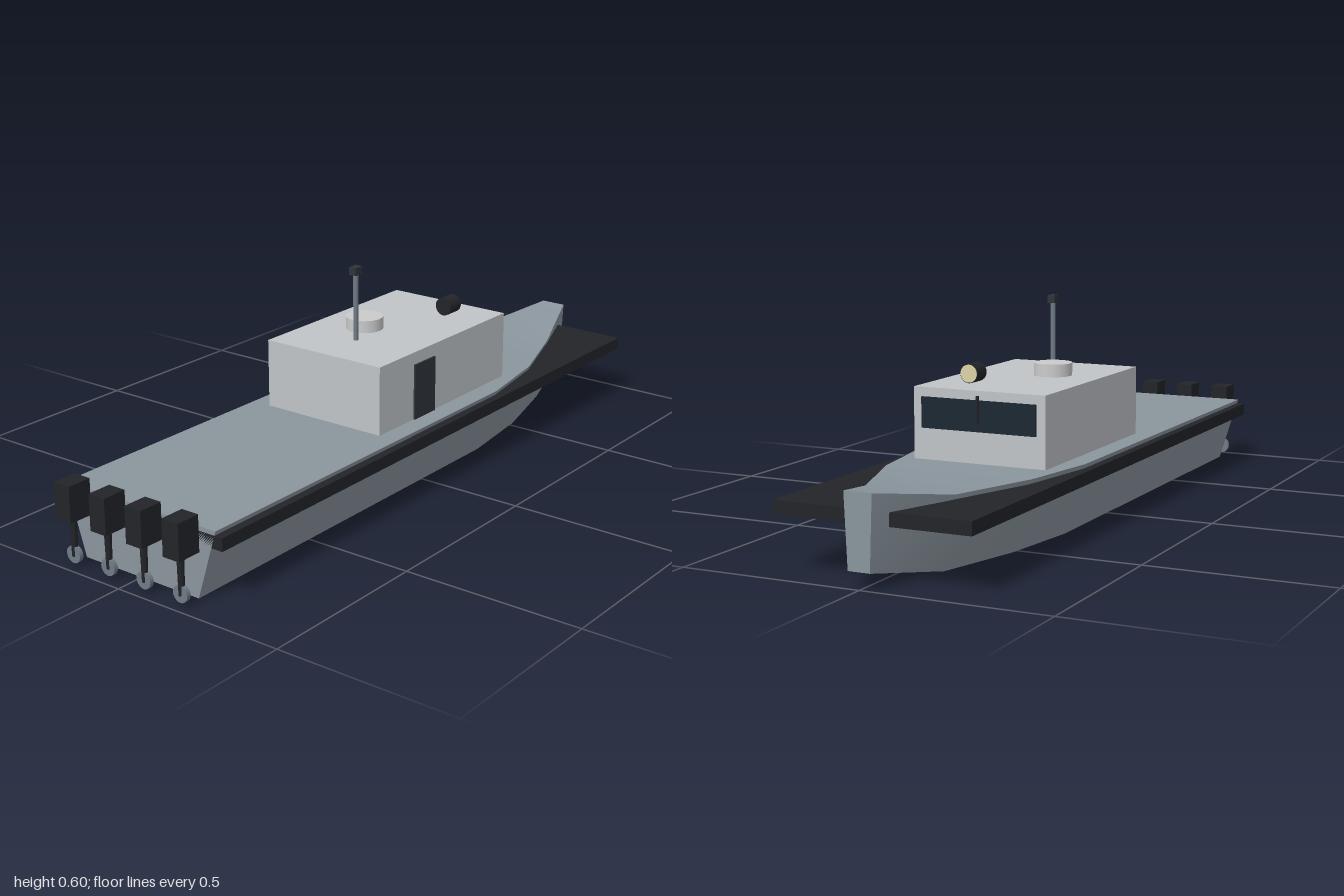
import * as THREE from 'three';
import { toCreasedNormals } from 'three/addons/utils/BufferGeometryUtils.js';

const material = (color) => new THREE.MeshStandardMaterial({ color });
const hullGrey = material(0x8a959d);
const cabinGrey = material(0xc0c4c8);
const black = material(0x222428);
const glass = material(0x1c2833);
const doorGrey = material(0x2e353b);
const mastGrey = material(0x707b86);
const domeGrey = material(0xcccccc);
const cream = material(0xddd3a8);

function add(parent, name, geometry, mat, x, y, z) {
  const mesh = new THREE.Mesh(geometry, mat);
  mesh.name = name;
  mesh.position.set(x, y, z);
  parent.add(mesh);
  return mesh;
}

// Box given by its minimum and maximum on each axis
function addBox(parent, name, mat, [x0, x1], [y0, y1], [z0, z1]) {
  return add(parent, name, new THREE.BoxGeometry(x1 - x0, y1 - y0, z1 - z0), mat,
    (x0 + x1) / 2, (y0 + y1) / 2, (z0 + z1) / 2);
}

// Cylinder lying along x
function axialCylinder(radius, length, sides = 24) {
  return new THREE.CylinderGeometry(radius, radius, length, sides).rotateZ(-Math.PI / 2);
}

// Hull lofted through trapezoid sections, stern to bow
function hullGeometry() {
  // x, bottom y, deck y, bottom half width, deck half width
  const stations = [
    [-0.92, 0, 0.192, 0.19, 0.25],
    [0.28, 0, 0.192, 0.19, 0.25],
    [0.52, 0, 0.192, 0.158, 0.21],
    [0.76, 0, 0.192, 0.093, 0.125],
    [1.0, 0.043, 0.233, 0.03, 0.038],
  ];
  const rings = stations.map(([x, y0, y1, b, t]) =>
    [[x, y0, -b], [x, y0, b], [x, y1, t], [x, y1, -t]]);
  const positions = [];
  const quad = (a, b, c, d) => positions.push(...a, ...b, ...c, ...a, ...c, ...d);
  for (let i = 0; i < rings.length - 1; i++) {
    for (let k = 0; k < 4; k++) {
      const n = (k + 1) % 4;
      quad(rings[i][k], rings[i + 1][k], rings[i + 1][n], rings[i][n]);
    }
  }
  quad(...rings[0]);
  quad(...rings[rings.length - 1].slice().reverse());
  const geometry = new THREE.BufferGeometry();
  geometry.setAttribute('position', new THREE.Float32BufferAttribute(positions, 3));
  return toCreasedNormals(geometry, 0.3);
}

// Outboard motor with leg and propeller
function outboardMotor(z) {
  const motor = new THREE.Group();
  motor.name = 'outboardMotor';
  motor.position.z = z;
  addBox(motor, 'motorCowl', black, [-1, -0.93], [0.13, 0.228], [-0.026, 0.026]);
  add(motor, 'motorLeg', new THREE.CylinderGeometry(0.01, 0.008, 0.11, 12), black, -0.968, 0.08, 0);
  add(motor, 'propeller', axialCylinder(0.023, 0.012, 20), mastGrey, -0.968, 0.03, 0);
  return motor;
}

export function createModel() {
  const boat = new THREE.Group();
  boat.name = 'patrolBoat';

  // Hull and full-width rubbing fender
  add(boat, 'hull', hullGeometry(), hullGrey, 0, 0, 0);
  addBox(boat, 'fender', black, [-0.92, 0.95], [0.145, 0.18], [-0.27, 0.27]);

  // Cabin with windscreen, divider and side door
  const cabin = new THREE.Group();
  cabin.name = 'cabin';
  boat.add(cabin);
  addBox(cabin, 'cabinWalls', cabinGrey, [-0.2, 0.4], [0.19, 0.385], [-0.192, 0.192]);
  addBox(cabin, 'windscreen', glass, [0.395, 0.406], [0.277, 0.36], [-0.167, 0.167]);
  addBox(cabin, 'windscreenWiper', black, [0.404, 0.412], [0.3, 0.372], [-0.003, 0.003]);
  addBox(cabin, 'door', doorGrey, [-0.045, 0.05], [0.192, 0.35], [0.185, 0.197]);

  // Mast with its light, radar dome and searchlight
  add(boat, 'mast', new THREE.CylinderGeometry(0.007, 0.007, 0.19, 16), mastGrey, -0.053, 0.479, 0);
  addBox(boat, 'mastLight', doorGrey, [-0.068, -0.038], [0.573, 0.595], [-0.011, 0.011]);
  add(boat, 'radarDome', new THREE.CylinderGeometry(0.053, 0.053, 0.036, 32), domeGrey, 0.05, 0.402, -0.048);
  add(boat, 'searchlight', axialCylinder(0.026, 0.052), black, 0.291, 0.415, 0.072);
  add(boat, 'searchlightLens', axialCylinder(0.024, 0.004), cream, 0.317, 0.415, 0.072);

  // Row of four outboards across the stern
  for (const z of [-0.18, -0.06, 0.06, 0.18]) boat.add(outboardMotor(z));

  return boat;
}
